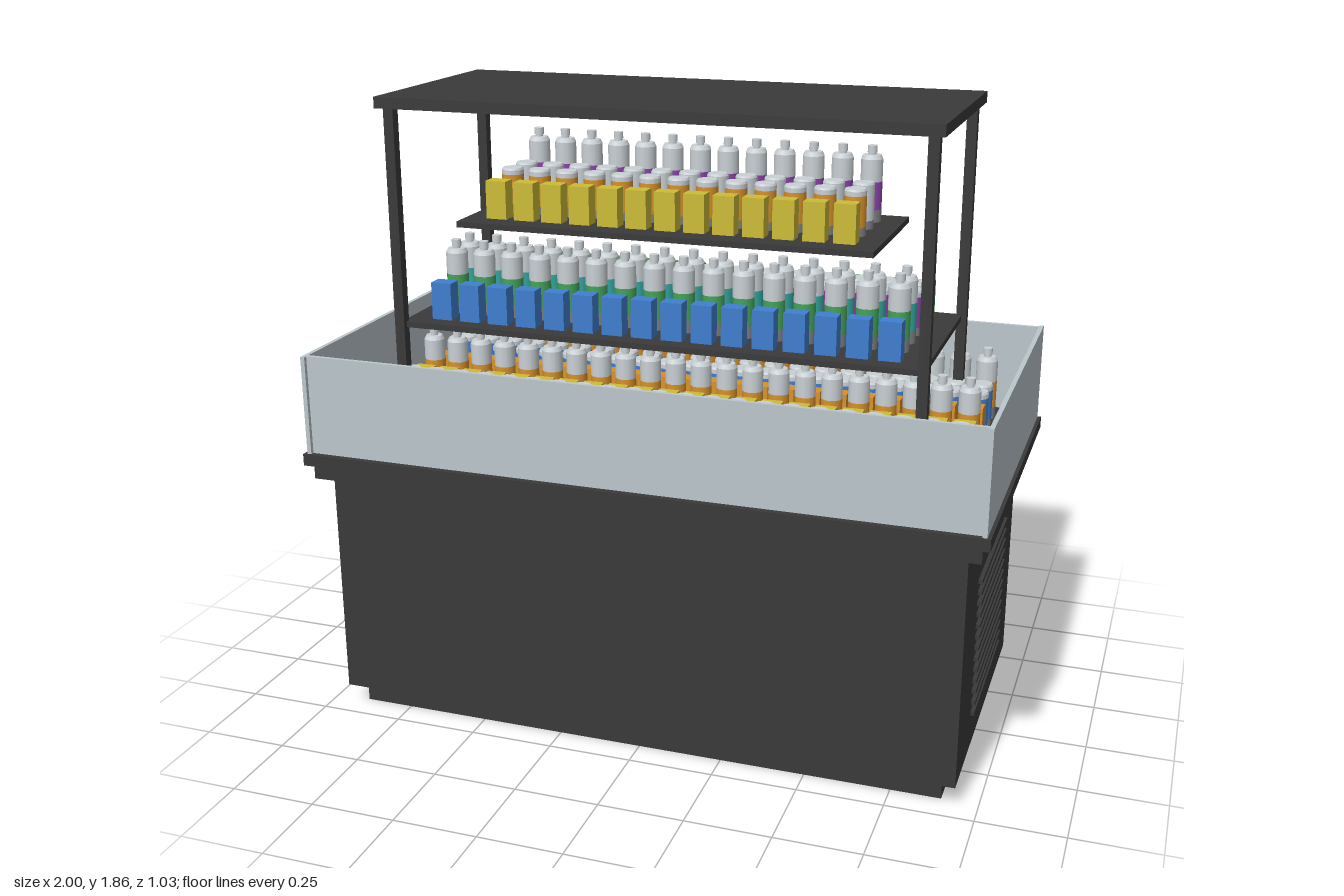
import * as THREE from 'three';
import { mergeGeometries } from 'three/addons/utils/BufferGeometryUtils.js';

const mat = (name, color) => new THREE.MeshStandardMaterial({ name, color });
const M = {
  frame: mat('charcoal', 0x3a3a3a),
  glass: mat('pale glass', 0xbcc7cc),
  silver: mat('silver', 0xcad1d5),
  base: mat('grey base', 0x808386),
  yellow: mat('yellow', 0xcdbd37),
  blue: mat('blue', 0x3f7fcf),
  orange: mat('orange', 0xd8922a),
  purple: mat('purple', 0x8e44ad),
  teal: mat('teal', 0x35a8a0),
  green: mat('green', 0x45a45a),
};

// Box given by its size, bottom height and centre
function box(parent, name, material, w, h, d, x, y0, z) {
  const m = new THREE.Mesh(new THREE.BoxGeometry(w, h, d), material);
  m.name = name;
  m.position.set(x, y0 + h / 2, z);
  parent.add(m);
  return m;
}

const R = 0.032, SIDES = 12;
const tube = (r1, r0, y0, y1, open = true) =>
  new THREE.CylinderGeometry(r1, r0, y1 - y0, SIDES, 1, open).translate(0, (y0 + y1) / 2, 0);

// Each product is a list of [colour key, geometry]; 'label' takes the row colour
const PRODUCTS = {
  carton: () => [['label', new THREE.BoxGeometry(0.062, 0.11, 0.048).translate(0, 0.055, 0)]],
  can: () => [
    ['base', tube(R, R, 0, 0.024)],
    ['label', tube(R, R, 0.024, 0.112)],
    ['silver', mergeGeometries([tube(R, R, 0.112, 0.125), tube(R * 0.9, R, 0.125, 0.131, false)])],
  ],
  bottle: () => [
    ['base', tube(R, R, 0, 0.036)],
    ['label', tube(R, R, 0.036, 0.116)],
    ['silver', mergeGeometries([
      tube(R, R, 0.116, 0.18), tube(R * 0.8, R, 0.18, 0.192, false),
      tube(0.011, 0.011, 0.19, 0.2), tube(0.014, 0.014, 0.198, 0.218, false)])],
  ],
};

// A straight row of identical products along x
function productRow(parent, kind, color, count, halfSpan, y, z) {
  const row = new THREE.Group();
  row.name = `${color} ${kind} row`;
  row.position.set(0, y, z);
  for (const [key, geo] of PRODUCTS[kind]()) {
    const copies = [];
    for (let i = 0; i < count; i++) {
      copies.push(geo.clone().translate(-halfSpan + (2 * halfSpan * i) / (count - 1), 0, 0));
    }
    const m = new THREE.Mesh(mergeGeometries(copies), M[key === 'label' ? color : key]);
    m.name = `${kind} ${key}`;
    row.add(m);
  }
  parent.add(row);
}

export function createModel() {
  const g = new THREE.Group();
  g.name = 'displayCounter';

  // Cabinet: plinth, body, stepped rim and raised display deck
  box(g, 'plinth', M.frame, 1.79, 0.07, 0.83, 0, 0, 0);
  box(g, 'cabinetBody', M.frame, 1.876, 0.69, 0.914, 0, 0.065, 0);
  box(g, 'lowerRim', M.frame, 1.956, 0.05, 0.994, 0, 0.755, 0);
  box(g, 'upperRim', M.frame, 2, 0.035, 1.034, 0, 0.8, 0);
  box(g, 'displayDeck', M.frame, 1.9, 0.035, 0.92, 0, 0.835, 0);

  // Ventilation slats on the left end
  for (let i = 0; i < 13; i++) {
    box(g, 'ventSlat', M.frame, 0.024, 0.013, 0.48, 0.938, 0.176 + i * 0.034, 0);
  }

  // Glass guards around the deck
  for (const s of [-1, 1]) {
    box(g, 'endGlass', M.glass, 0.013, 0.295, 1.02, s * 0.983, 0.835, 0);
    box(g, 'longGlass', M.glass, 1.954, 0.295, 0.013, 0, 0.835, s * 0.492);
  }

  // Posts, roof and shelves
  for (const x of [-0.77, 0.77]) {
    for (const z of [-0.3, 0.3]) box(g, 'post', M.frame, 0.03, 0.99, 0.03, x, 0.835, z);
  }
  box(g, 'roof', M.frame, 1.604, 0.032, 0.67, 0, 1.823, 0);
  box(g, 'lowerShelf', M.frame, 1.54, 0.017, 0.6, 0, 1.184, 0);
  box(g, 'upperShelf', M.frame, 1.22, 0.017, 0.48, 0, 1.479, 0);

  // Products on the upper shelf, front to back
  [['carton', 'yellow'], ['can', 'orange'], ['can', 'silver'], ['bottle', 'purple']]
    .forEach(([kind, color], i) => productRow(g, kind, color, 13, 0.514, 1.496, 0.15 - i * 0.1));

  // Products on the lower shelf
  [['carton', 'blue'], ['bottle', 'green'], ['bottle', 'teal'],
    ['can', 'purple'], ['can', 'orange'], ['carton', 'green']]
    .forEach(([kind, color], i) => productRow(g, kind, color, 16, 0.665, 1.201, 0.225 - i * 0.09));

  // Products on the deck
  [['can', 'green'], ['can', 'yellow'], ['carton', 'yellow'], ['can', 'green'], ['carton', 'yellow'],
    ['bottle', 'orange'], ['carton', 'orange'], ['can', 'blue'], ['can', 'blue'], ['bottle', 'orange']]
    .forEach(([kind, color], i) => productRow(g, kind, color, 22, 0.845, 0.87, 0.36 - i * 0.08));

  return g;
}
